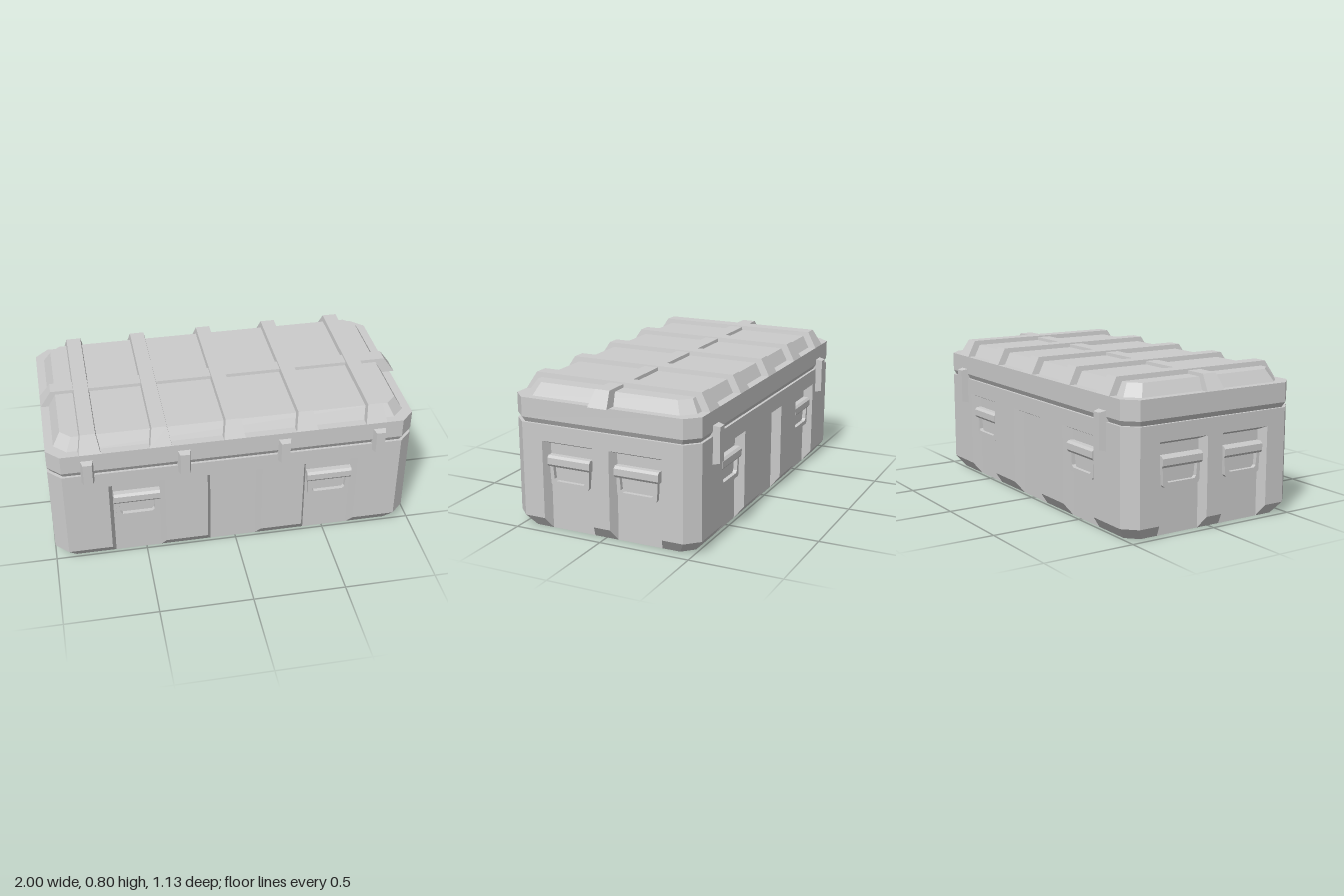
import * as THREE from 'three';

const CX = -0.0125, X = 0.9875, Z = 0.53;   // body centre and half sizes
const CH = 0.07, CHB = 0.06, IN = 0.05;     // corner chamfers, bevel / recess depth
const BEVEL = 0.065, TOP = 0.578;           // bottom bevel height, body height
const mat = new THREE.MeshStandardMaterial({ color: 0xcccccc, flatShading: true });

function mesh(name, geo, x = 0, y = 0, z = 0) {
  const m = new THREE.Mesh(geo, mat);
  m.name = name;
  m.position.set(x, y, z);
  return m;
}

// Geometry from convex polygons, corners counter-clockwise seen from outside
function polyGeometry(polys) {
  const pos = [];
  for (const p of polys)
    for (let i = 1; i < p.length - 1; i++) pos.push(...p[0], ...p[i], ...p[i + 1]);
  const g = new THREE.BufferGeometry();
  g.setAttribute('position', new THREE.Float32BufferAttribute(pos, 3));
  g.computeVertexNormals();
  return g;
}

// Box whose face towards +axis is shrunk to the given size on the other two axes
function taperedBox(size, axis, small) {
  const g = new THREE.BoxGeometry(...size).toNonIndexed();
  const p = g.attributes.position;
  for (let i = 0; i < p.count; i++) {
    if (p.getComponent(i, axis) <= 0) continue;
    for (let a = 0; a < 3; a++)
      if (a !== axis) p.setComponent(i, a, p.getComponent(i, a) * small[a] / size[a]);
  }
  g.computeVertexNormals();
  return g;
}

// Octagonal outline at a height, counter-clockwise seen from above
function ring(inset, y, ch) {
  const x = X - inset, z = Z - inset;
  return [[-x + ch, y, z], [x - ch, y, z], [x, y, z - ch], [x, y, -z + ch],
    [x - ch, y, -z], [-x + ch, y, -z], [-x, y, -z + ch], [-x, y, z - ch]];
}

// One body wall facing +z with its recesses, plus the chamfered corner at its +x end
function wallGeometry(halfWidth, depth, centres, h) {
  const polys = [], quad = (...p) => polys.push(p);
  const W = halfWidth - CH, WB = halfWidth - IN - CHB;
  const o = depth, n = depth - IN, s = 0.022, rTop = 0.49;
  let a = -W, aLow = -WB;
  const pillar = (b, bLow) => {
    quad([a, BEVEL, o], [b, BEVEL, o], [b, rTop, o], [a, rTop, o]);
    quad([aLow, 0, n], [bLow, 0, n], [b, BEVEL, o], [a, BEVEL, o]);
  };
  for (const c of centres) {
    const L = c - h, R = c + h, l = L + s, r = R - s, t = rTop - s;
    pillar(L, l);
    quad([l, 0, n], [r, 0, n], [r, t, n], [l, t, n]);
    quad([l, t, n], [r, t, n], [R, rTop, o], [L, rTop, o]);
    quad([L, BEVEL, o], [l, 0, n], [l, t, n], [L, rTop, o]);
    quad([r, 0, n], [R, BEVEL, o], [R, rTop, o], [r, t, n]);
    a = R; aLow = r;
  }
  pillar(W, WB);
  quad([-W, rTop, o], [W, rTop, o], [W, TOP, o], [-W, TOP, o]);
  // corner chamfer
  quad([W, BEVEL, o], [W + CH, BEVEL, o - CH], [W + CH, TOP, o - CH], [W, TOP, o]);
  quad([WB, 0, n], [WB + CHB, 0, n - CHB], [W + CH, BEVEL, o - CH], [W, BEVEL, o]);
  return polyGeometry(polys);
}

// Handle: chamfered hinge bar with a hanging loop, standing on the plane z = 0
function handle() {
  const g = new THREE.Group();
  g.name = 'handle';
  const v = (x, y) => new THREE.Vector2(x, y);
  const profile = new THREE.Shape([v(0, 0.352), v(0.032, 0.352), v(0.042, 0.365),
    v(0.042, 0.4), v(0.03, 0.412), v(0, 0.412)]);
  const bar = new THREE.ExtrudeGeometry(profile, { depth: 0.248, bevelEnabled: false });
  bar.rotateY(-Math.PI / 2);       // profile x becomes z, length runs along -x
  bar.translate(0.124, 0, 0);
  g.add(mesh('handleBar', bar));
  const frame = new THREE.Shape([v(-0.117, 0.36), v(-0.112, 0.26), v(-0.104, 0.25),
    v(0.104, 0.25), v(0.112, 0.26), v(0.117, 0.36)]);
  frame.holes.push(new THREE.Path([v(-0.098, 0.355), v(0.098, 0.355), v(0.092, 0.286),
    v(0.08, 0.274), v(-0.08, 0.274), v(-0.092, 0.286)]));
  const loop = new THREE.ExtrudeGeometry(frame, { depth: 0.022, bevelEnabled: false });
  g.add(mesh('handleLoop', loop, 0, 0, 0.008));
  return g;
}

function body() {
  const g = new THREE.Group();
  g.name = 'body';
  const long = { w: X, d: Z, recesses: [-0.53, 0, 0.53], h: 0.149 };
  const short = { w: Z, d: X, recesses: [-0.195, 0.195], h: 0.148 };
  ['front', 'left', 'back', 'right'].forEach((name, i) => {
    const s = i % 2 ? short : long;
    const side = new THREE.Group();
    side.name = name + 'Side';
    side.rotation.y = i * Math.PI / 2;
    side.add(mesh(name + 'Wall', wallGeometry(s.w, s.d, s.recesses, s.h)));
    for (const c of s.recesses) {
      if (c === 0) continue;       // the middle recess is empty
      const grip = handle();
      grip.position.set(c, 0, s.d - IN);
      side.add(grip);
    }
    g.add(side);
  });
  g.add(mesh('bodyCaps', polyGeometry([ring(IN, 0, CHB).reverse(), ring(0, TOP, CH)])));
  return g;
}

function lid() {
  const g = new THREE.Group();
  g.name = 'lid';
  // lip, rim wall, ledge and raised top
  const rings = [ring(0.015, TOP, 0.065), ring(0, 0.605, CH), ring(0, 0.71, CH),
    ring(0.045, 0.71, 0.065), ring(0.085, 0.775, 0.055)];
  const polys = [[...rings[0]].reverse(), rings[4]];
  for (let k = 0; k < 4; k++)
    for (let i = 0; i < 8; i++) {
      const j = (i + 1) % 8;
      polys.push([rings[k][i], rings[k][j], rings[k + 1][j], rings[k + 1][i]]);
    }
  g.add(mesh('lidShell', polyGeometry(polys)));
  return g;
}

export function createModel() {
  const model = new THREE.Group();
  model.name = 'storageCase';
  const shell = new THREE.Group();
  shell.name = 'shell';
  shell.position.x = CX;
  shell.add(body(), lid());
  model.add(shell);

  // ribs over the lid
  const cross = taperedBox([0.115, 0.09, 1.06], 1, [0.08, 0, 0.95]);
  for (const x of [-0.775, -0.405, -0.015, 0.376, 0.757])
    model.add(mesh('crossRib', cross, x, 0.755, 0));
  model.add(mesh('lengthRib', taperedBox([1.998, 0.082, 0.11], 1, [1.88, 0, 0.08]), 0, 0.751, 0));

  // latches on the front, hinges on the back
  const latch = taperedBox([0.075, 0.14, 0.05], 2, [0.048, 0.122, 0]);
  for (const x of [-0.794, -0.285, 0.255, 0.775])
    model.add(mesh('latch', latch, x, 0.606, 0.54));
  const hinge = taperedBox([0.078, 0.21, 0.05], 2, [0.05, 0.188, 0]);
  for (const x of [-0.772, 0.748]) {
    const m = mesh('hinge', hinge, x, 0.533, -0.54);
    m.rotation.y = Math.PI;
    model.add(m);
  }
  return model;
}
